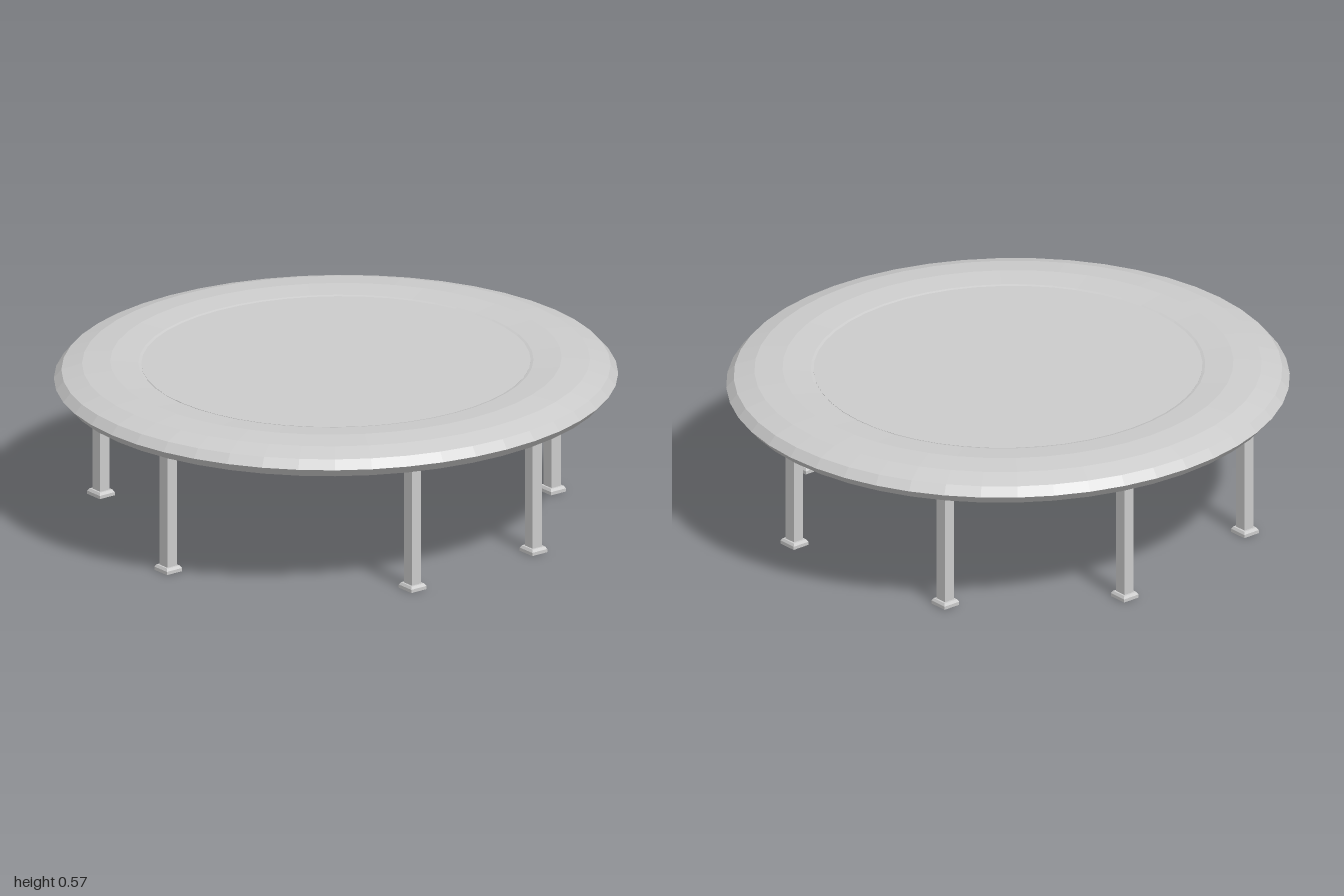
import * as THREE from 'three';

const material = new THREE.MeshStandardMaterial({ color: 0xcccccc, flatShading: true });

function part(name, geometry, y = 0) {
  const mesh = new THREE.Mesh(geometry, material);
  mesh.name = name;
  mesh.position.y = y;
  return mesh;
}

// square frustum: bottom width, top width, height
function taperedBlock(bottom, top, height) {
  const geometry = new THREE.CylinderGeometry(top * Math.SQRT1_2, bottom * Math.SQRT1_2, height, 4);
  return geometry.rotateY(Math.PI / 4);
}

function createLeg(x, z) {
  const leg = new THREE.Group();
  leg.name = 'leg';
  const post = part('legPost', new THREE.BoxGeometry(0.045, 0.455, 0.042), 0.2375);
  const foot = part('footPad', taperedBlock(0.072, 0.072, 0.012), 0.006);
  const cap = part('footBevel', taperedBlock(0.072, 0.06, 0.009), 0.0165);
  foot.scale.z = cap.scale.z = 0.93;
  leg.add(post, foot, cap);
  leg.position.set(x, 0, z);
  return leg;
}

export function createModel() {
  const model = new THREE.Group();
  model.name = 'trampoline';

  // flattened padded ring, slightly narrower in x
  const ring = new THREE.TorusGeometry(0.8, 0.2, 12, 48);
  ring.rotateX(-Math.PI / 2).scale(0.973, 0.3125, 1);
  model.add(part('paddedRing', ring, 0.5125));

  // jumping mat set into the ring
  const mat = new THREE.CylinderGeometry(0.69, 0.69, 0.031, 48);
  mat.scale(0.973, 1, 1);
  model.add(part('jumpingMat', mat, 0.549));

  // seven unevenly spaced legs
  const legSpots = [
    [0.105, 0.83], [0.78, 0.27], [0.74, -0.3], [0.285, -0.74],
    [-0.44, -0.66], [-0.8, -0.14], [-0.66, 0.53],
  ];
  for (const [x, z] of legSpots) model.add(createLeg(x, z));

  return model;
}
